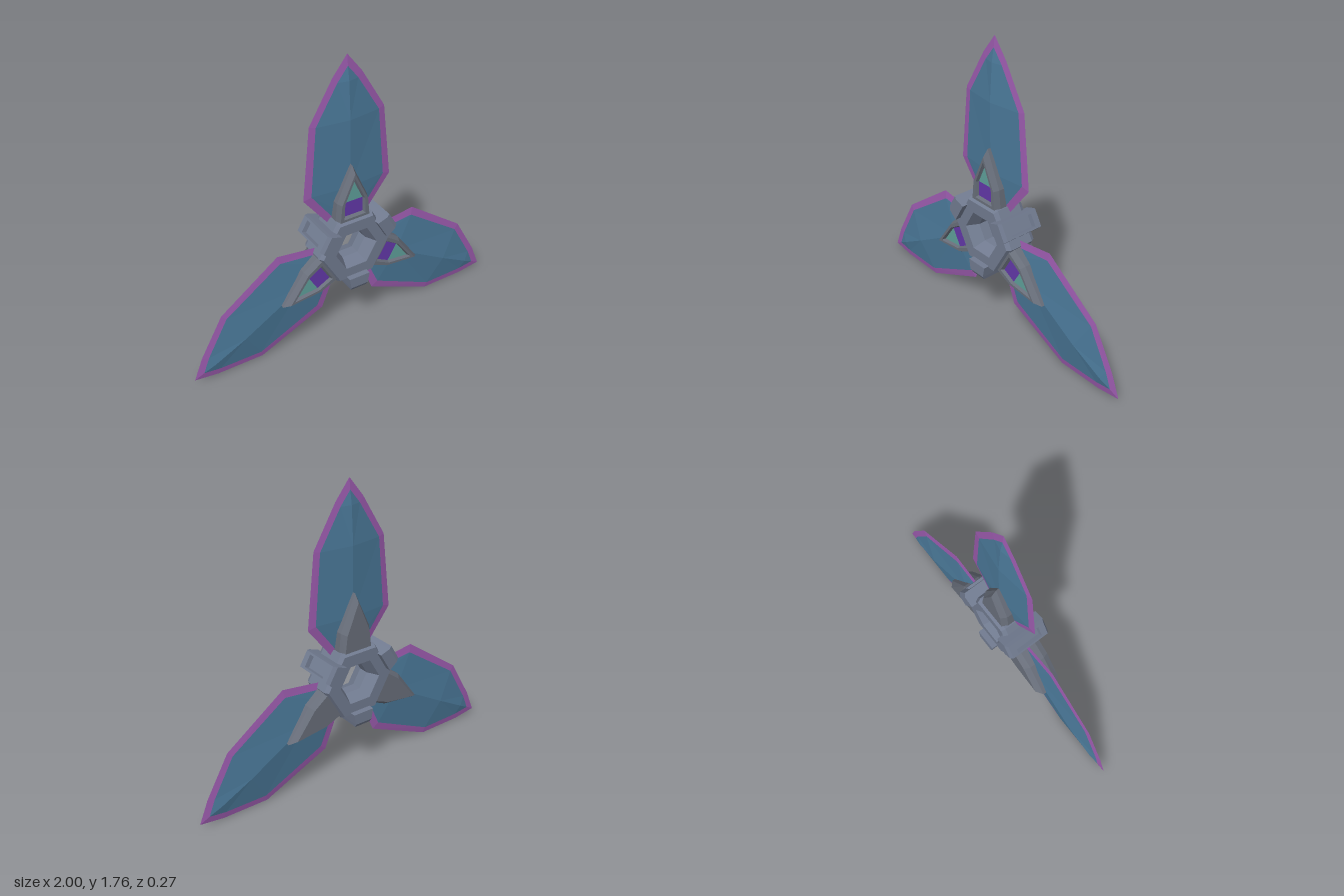
import * as THREE from 'three';

const mat = (name, color, side = THREE.FrontSide) => {
  const m = new THREE.MeshStandardMaterial({ color, side });
  m.name = name;
  return m;
};

// Flat-shaded geometry from a flat list of triangle corners
function facets(corners) {
  const g = new THREE.BufferGeometry();
  g.setAttribute('position', new THREE.Float32BufferAttribute(corners.flat(), 3));
  g.computeVertexNormals();
  return g;
}

// Joins counter-clockwise loops stacked along z, with optional end caps
function loft(loops, capBack, capFront) {
  const t = [], n = loops[0].length;
  for (let i = 0; i < loops.length - 1; i++) {
    for (let j = 0; j < n; j++) {
      const k = (j + 1) % n;
      const a = loops[i][j], b = loops[i][k], c = loops[i + 1][k], d = loops[i + 1][j];
      t.push(a, b, c, a, c, d);
    }
  }
  const first = loops[0], last = loops[loops.length - 1];
  for (let j = 1; j < n - 1; j++) {
    if (capBack) t.push(first[0], first[j + 1], first[j]);
    if (capFront) t.push(last[0], last[j], last[j + 1]);
  }
  return facets(t);
}

// Hexagonal ring with bevelled hole
function hubGeometry() {
  const hex = ([r, z]) => Array.from({ length: 6 }, (_, i) => {
    const a = i * Math.PI / 3;
    return [r * Math.cos(a), r * Math.sin(a), z];
  });
  return loft([[0.1, 0.03], [0.1, -0.03], [0.135, -0.1], [0.215, -0.1], [0.23, -0.075],
    [0.23, 0.075], [0.215, 0.1], [0.135, 0.1], [0.1, 0.03]].map(hex));
}

// Pointed housing: base, shoulder and tip, with a recess in the front
function podGeometry() {
  const outline = (z, wb, rb, ws, rs, rt) =>
    [[-wb, rb, z], [wb, rb, z], [ws, rs, z], [0, rt, z], [-ws, rs, z]];
  return loft([
    outline(-0.083, 0.09, 0.18, 0.075, 0.3, 0.48),
    outline(-0.05, 0.11, 0.17, 0.097, 0.31, 0.525),
    outline(0.05, 0.11, 0.17, 0.097, 0.31, 0.525),
    outline(0.083, 0.095, 0.18, 0.083, 0.305, 0.485),
    outline(0.083, 0.069, 0.21, 0.064, 0.31, 0.455),
    outline(0.065, 0.06, 0.22, 0.057, 0.31, 0.435),
  ], true, false);
}

// Clamp block running outward along y, with a recessed end
function lugGeometry() {
  const rect = ([w, d, r]) => [[-w, -d, r], [w, -d, r], [w, d, r], [-w, d, r]];
  return loft([[0.067, 0.135, 0.175], [0.055, 0.135, 0.24], [0.05, 0.122, 0.262],
    [0.038, 0.084, 0.262], [0.034, 0.08, 0.235]].map(rect), true, true).rotateX(-Math.PI / 2);
}

// Blade stations: edge, inset line and ridge
const edge = [[0.1, 0.12], [0.13, 0.17], [0.277, 0.36], [0.232, 0.8], [0.09, 1.04], [0, 1.155]];
const inset = [[0.06, 0.13], [0.09, 0.185], [0.23, 0.375], [0.195, 0.79], [0.063, 1.01], [0, 1.09]];
const ridge = [0.012, 0.018, 0.03, 0.033, 0.02, 0.007];

function bladeGeometries() {
  const rim = [], face = [];
  for (const sx of [1, -1]) for (const sz of [1, -1]) {
    const E = edge.map(([w, r]) => [sx * w, r, 0]);
    const Q = inset.map(([w, r]) => [sx * w, r, sz * 0.007]);
    const M = inset.map(([, r], i) => [0, r, sz * ridge[i]]);
    const tri = (list, a, b, c) => (sx * sz > 0 ? list.push(a, b, c) : list.push(a, c, b));
    for (let i = 0; i < 5; i++) {
      tri(rim, E[i], E[i + 1], Q[i + 1]);
      tri(rim, E[i], Q[i + 1], Q[i]);
      tri(face, Q[i], Q[i + 1], M[i]);
      if (i < 4) tri(face, Q[i + 1], M[i + 1], M[i]);
    }
  }
  return [facets(rim), facets(face)];
}

export function createModel() {
  const model = new THREE.Group();
  model.name = 'threeBladeRotor';
  const rotor = new THREE.Group();
  rotor.name = 'rotor';
  rotor.position.y = 0.602;
  model.add(rotor);

  const hubMat = mat('blueGreySteel', 0x717b90);
  const podMat = mat('darkSteel', 0x686e7a);
  const bladeMat = mat('bladeBlue', 0x4a7898);
  const rimMat = mat('rimPurple', 0x9a5aac);
  const violetMat = mat('panelViolet', 0x6238a8, THREE.DoubleSide);
  const tealMat = mat('panelTeal', 0x5f9f9a, THREE.DoubleSide);

  const add = (parent, name, geo, material) => {
    const m = new THREE.Mesh(geo, material);
    m.name = name;
    parent.add(m);
    return m;
  };

  add(rotor, 'hub', hubGeometry(), hubMat);

  const [rimGeo, faceGeo] = bladeGeometries();
  const podGeo = podGeometry(), lugGeo = lugGeometry();
  // Coloured panels on the floor of the housing recess
  const violetGeo = facets([[-0.06, 0.22, 0.065], [0.06, 0.22, 0.065], [0.057, 0.31, 0.065],
    [-0.06, 0.22, 0.065], [0.057, 0.31, 0.065], [-0.057, 0.31, 0.065]]);
  const tealGeo = facets([[-0.057, 0.31, 0.065], [0.057, 0.31, 0.065], [0, 0.435, 0.065]]);

  for (let i = 0; i < 3; i++) {
    const arm = new THREE.Group();
    arm.name = 'arm' + (i + 1);
    arm.rotation.z = i * Math.PI * 2 / 3;
    rotor.add(arm);
    add(arm, 'bladeRim', rimGeo, rimMat);
    add(arm, 'bladeFace', faceGeo, bladeMat);
    add(arm, 'housing', podGeo, podMat);
    add(arm, 'violetPanel', violetGeo, violetMat);
    add(arm, 'tealPanel', tealGeo, tealMat);
    // Clamp between neighbouring blades
    add(arm, 'clamp', lugGeo, hubMat).rotation.z = Math.PI / 3;
  }
  return model;
}
